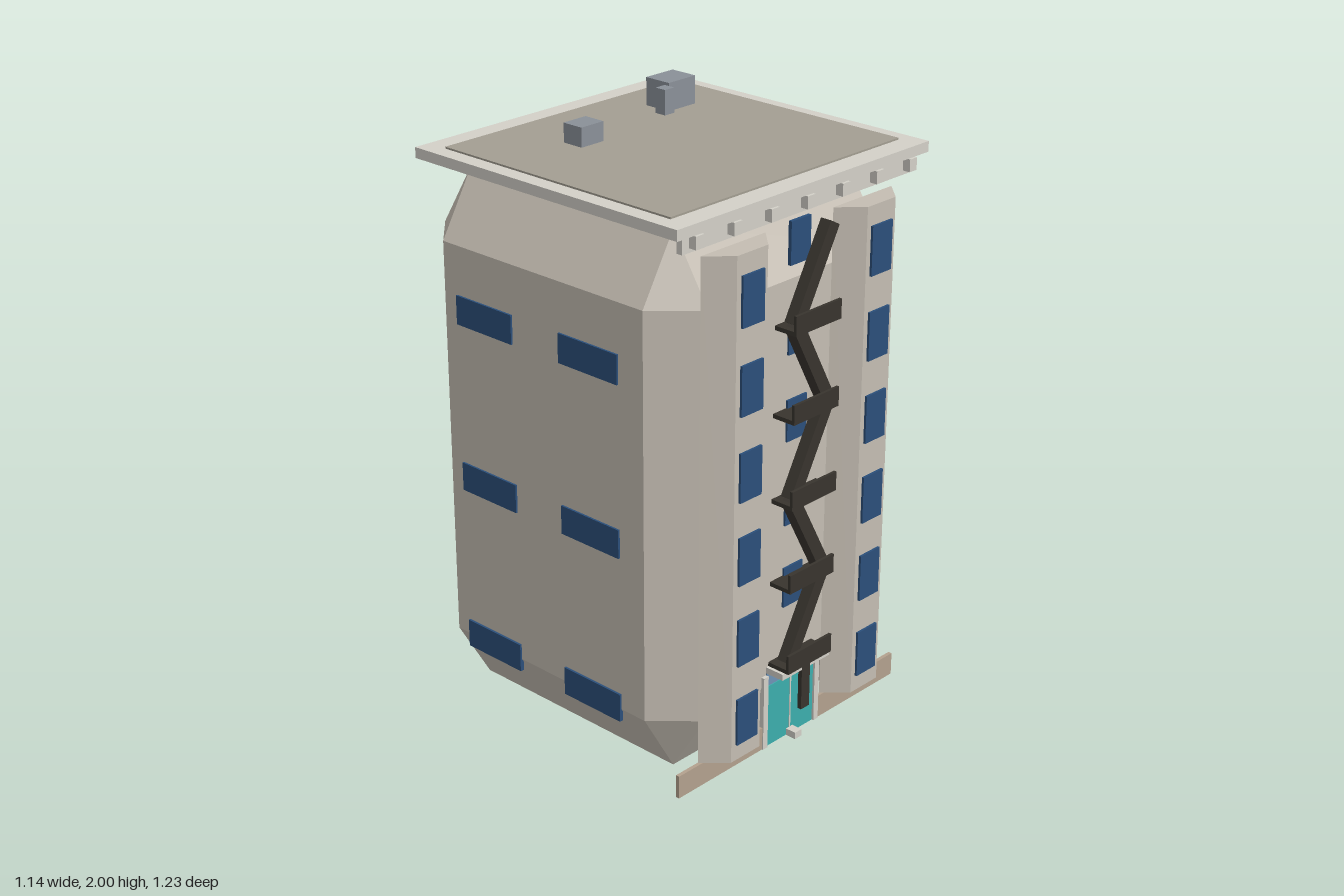
import * as THREE from 'three';
import { ConvexGeometry } from 'three/addons/geometries/ConvexGeometry.js';

const mat = (color) => new THREE.MeshStandardMaterial({ color, flatShading: true });

export function createModel() {
  const model = new THREE.Group();
  const wall = mat(0xc4bdb2), trim = mat(0xd3d0c8), roofTop = mat(0xa39e92), metal = mat(0x8a9098);
  const glass = mat(0x2b4f7a), iron = mat(0x38342e), teal = mat(0x3caeac), paleGlass = mat(0x6f93b5);
  const stone = mat(0xb3a18e);

  const add = (name, geometry, material, parent = model) => {
    const mesh = new THREE.Mesh(geometry, material);
    mesh.name = name;
    parent.add(mesh);
    return mesh;
  };
  // Box given by its limits on each axis
  const box = (name, material, x0, x1, y0, y1, z0, z1, parent = model) => {
    const mesh = add(name, new THREE.BoxGeometry(x1 - x0, y1 - y0, z1 - z0), material, parent);
    mesh.position.set((x0 + x1) / 2, (y0 + y1) / 2, (z0 + z1) / 2);
    return mesh;
  };
  const group = (name) => {
    const g = new THREE.Group();
    g.name = name;
    model.add(g);
    return g;
  };

  // Main block: a box with every edge chamfered, three points per corner
  const points = [];
  for (const sx of [-1, 1]) {
    for (const [yOut, yIn] of [[0, 0.22], [1.82, 1.6]]) {
      for (const [zOut, zIn] of [[0.53, 0.39], [-0.615, -0.478]]) {
        points.push(
          new THREE.Vector3(sx * 0.53, yIn, zIn),
          new THREE.Vector3(sx * 0.4, yIn, zOut),
          new THREE.Vector3(sx * 0.4, yOut, zIn)
        );
      }
    }
  }
  add('mainBlock', new ConvexGeometry(points), wall);

  // Front bays with a trapezoid plan, and their windows
  const plan = new THREE.Shape([[-0.14, -0.53], [0.14, -0.53], [0.067, -0.605], [-0.067, -0.605]]
    .map(([x, y]) => new THREE.Vector2(x, y)));
  for (const side of [-1, 1]) {
    const bay = group(side > 0 ? 'leftBay' : 'rightBay');
    const shaft = add('bayShaft', new THREE.ExtrudeGeometry(plan, { depth: 1.695, bevelEnabled: false }), wall, bay);
    shaft.rotation.x = -Math.PI / 2;
    shaft.position.set(side * 0.295, 0.083, 0);
    for (let i = 0; i < 6; i++) {
      const y = 0.14 + i * 0.282, x = side * 0.295;
      box('bayWindow', glass, x - 0.048, x + 0.048, y, y + 0.163, 0.6, 0.613, bay);
    }
    // Side windows
    for (let i = 0; i < 3; i++) {
      for (const z of [0.163, -0.295]) {
        const y = 0.177 + i * 0.58, x = side * 0.53;
        box('sideWindow', glass, x - 0.007, x + 0.007, y, y + 0.098, z - 0.125, z + 0.125);
      }
    }
    // Plinth strip beside the door
    box('plinth', stone, Math.min(side * 0.137, side * 0.53), Math.max(side * 0.137, side * 0.53), 0, 0.08, 0.525, 0.538);
  }

  // Stair windows on the centre line
  for (let i = 0; i < 5; i++) {
    const y = 0.485 + i * 0.29;
    box('stairWindow', glass, -0.045, 0.045, y, y + 0.14, 0.525, 0.537);
  }

  // Fire escape: landings with rails, joined by alternating flights
  const escape = group('fireEscape');
  for (let i = 0; i < 5; i++) {
    const y = 0.295 + i * 0.29, dir = i % 2 ? -1 : 1;
    box('landing', iron, -0.105, 0.105, y, y + 0.014, 0.53, 0.61, escape);
    box('landingRail', iron, -0.105, 0.105, y, y + 0.065, 0.605, 0.615, escape);
    const flight = box('stairFlight', iron, -0.023, 0.023, -0.165, 0.165, -0.02, 0.02, escape);
    flight.position.set(0.005, y + 0.307 - 0.145 + 0.003, 0.578);
    flight.rotation.z = -dir * 0.5;
  }
  box('dropLadder', iron, -0.02, 0.02, 0.125, 0.3, 0.585, 0.6, escape);

  // Entrance
  const entrance = group('entrance');
  for (const s of [-1, 1]) {
    box('doorJamb', trim, s * 0.126 - 0.011, s * 0.126 + 0.011, 0, 0.265, 0.525, 0.542, entrance);
    box('doorLeaf', teal, s * 0.058 - 0.056, s * 0.058 + 0.056, 0, 0.222, 0.525, 0.535, entrance);
  }
  box('doorMullion', trim, -0.003, 0.003, 0, 0.222, 0.525, 0.537, entrance);
  box('transom', paleGlass, -0.115, 0.115, 0.225, 0.272, 0.525, 0.535, entrance);
  box('canopy', trim, -0.115, 0.115, 0.272, 0.294, 0.53, 0.6, entrance);
  box('doorStop', trim, -0.016, 0.016, 0, 0.024, 0.535, 0.575, entrance);

  // Cornice with brackets
  const cornice = group('cornice');
  box('corniceBeam', trim, -0.53, 0.53, 1.81, 1.863, 0.525, 0.547, cornice);
  for (let i = -3; i <= 3; i++) {
    const x = i * 0.1615;
    box('corniceBracket', trim, x - 0.017, x + 0.017, 1.824, 1.865, 0.54, 0.574, cornice);
  }

  // Roof slab, its surface and rooftop units
  const roof = group('roof');
  box('roofSlab', trim, -0.57, 0.57, 1.865, 1.9, -0.545, 0.565, roof);
  box('roofSurface', roofTop, -0.516, 0.516, 1.89, 1.906, -0.466, 0.488, roof);
  box('ventUnit', metal, -0.235, -0.14, 1.9, 1.97, -0.232, -0.154, roof);
  box('coolingUnit', metal, 0.23, 0.354, 1.9, 2, -0.327, -0.226, roof);
  box('coolingDuct', metal, 0.188, 0.231, 1.9, 1.99, -0.245, -0.203, roof);

  return model;
}
